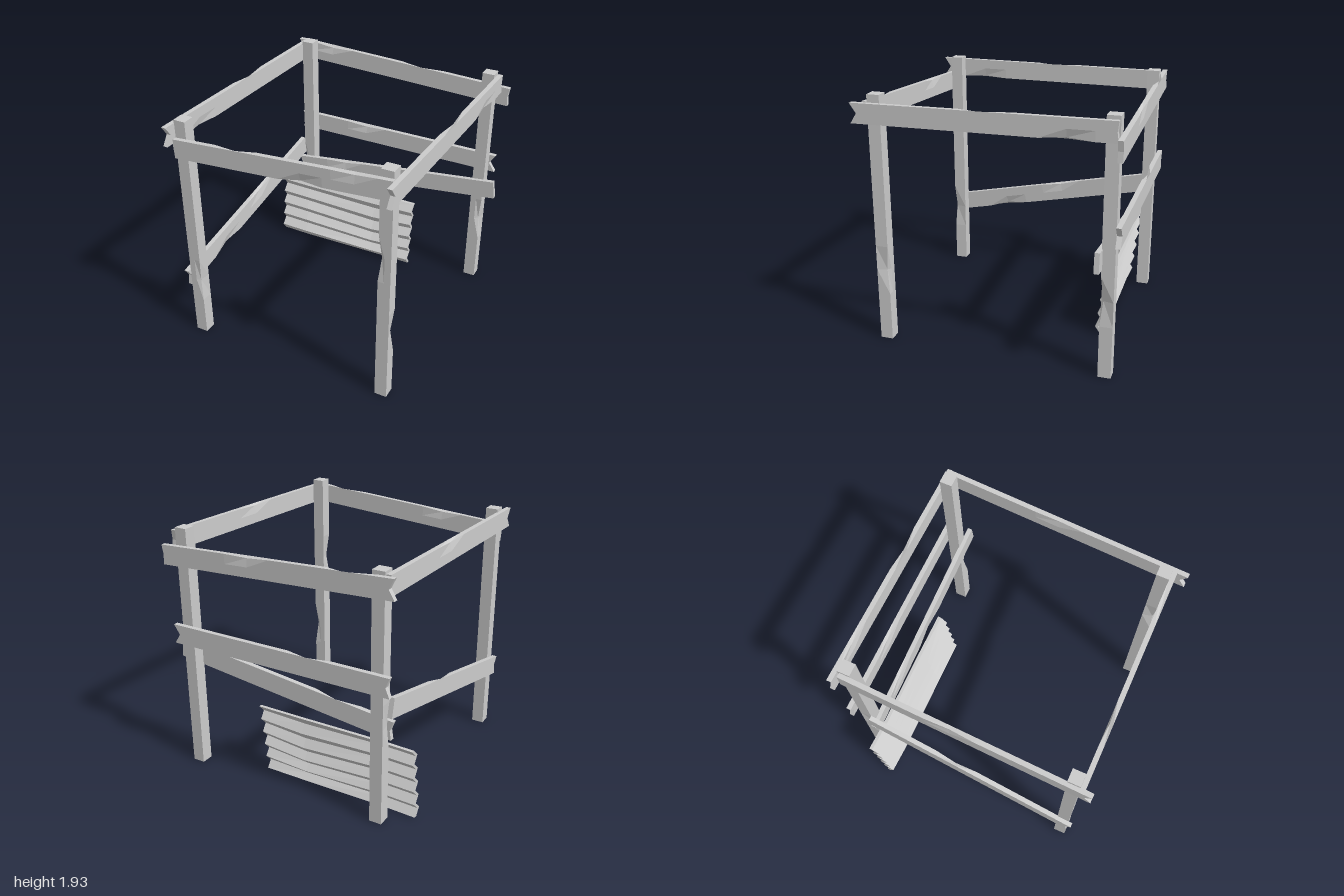
import * as THREE from 'three';

const material = new THREE.MeshStandardMaterial({ color: 0xcccccc, flatShading: true });

function facet(geometry) {
  const flat = geometry.toNonIndexed();
  flat.computeVertexNormals();
  return flat;
}

// Rough timber running from a to b.
// nicks: [t along length, side in y, side in z, depth] chips an edge.
// notch: how far the split in the start and end face goes in.
function timber(name, a, b, height, depth, nicks = [], notch = [0, 0]) {
  const from = new THREE.Vector3(...a), to = new THREE.Vector3(...b);
  const length = from.distanceTo(to);
  const stations = [0, 1];
  for (const [t] of nicks) stations.push(t - 0.1, t, t + 0.1);
  stations.sort((p, q) => p - q);
  const n = stations.length - 1;

  const geometry = new THREE.BoxGeometry(1, height, depth, n, 2, 1);
  const p = geometry.attributes.position;
  for (let i = 0; i < p.count; i++) {
    const t = stations[Math.round((p.getX(i) + 0.5) * n)];
    let x = (t - 0.5) * length, y = p.getY(i), z = p.getZ(i);
    if (Math.abs(y) < 1e-6) {
      if (t === 0) x += notch[0];
      if (t === 1) x -= notch[1];
    }
    for (const [at, sy, sz, cut] of nicks) {
      if (t === at && y * sy > 1e-6 && z * sz > 0) {
        y -= sy * cut;
        z -= sz * Math.min(cut, depth * 0.4);
      }
    }
    p.setXYZ(i, x, y, z);
  }

  // Orient along the run, keeping the wide face upright
  const dir = to.clone().sub(from).normalize();
  const side = Math.abs(dir.y) > 0.99
    ? new THREE.Vector3(0, 0, 1)
    : dir.clone().cross(new THREE.Vector3(0, 1, 0)).normalize();
  const up = side.clone().cross(dir);
  geometry.applyMatrix4(new THREE.Matrix4().makeBasis(dir, up, side)
    .setPosition(from.add(to).multiplyScalar(0.5)));

  const mesh = new THREE.Mesh(facet(geometry), material);
  mesh.name = name;
  return mesh;
}

// Leaning, slightly sagging corrugated panel
function corrugatedSheet() {
  const columns = [-1, -0.75, -0.08, 0.29];
  const sag = [0, 0, 1, 0];
  const ridges = 10;
  const geometry = new THREE.BoxGeometry(1, 1, 1, 3, ridges, 1);
  const p = geometry.attributes.position;
  for (let i = 0; i < p.count; i++) {
    const column = Math.round((p.getX(i) + 0.5) * 3);
    const row = Math.round((p.getY(i) + 0.5) * ridges);
    const v = row / ridges;
    const zig = row % 2 ? 0.024 : -0.024;
    p.setXYZ(i,
      columns[column],
      0.01 + 0.585 * v - 0.033 * sag[column] * Math.sin(Math.PI * v),
      -0.735 - 0.075 * v + zig + p.getZ(i) * 0.026 + (column === 1 ? 0.008 : 0));
  }
  const mesh = new THREE.Mesh(facet(geometry), material);
  mesh.name = 'corrugatedSheet';
  return mesh;
}

export function createModel() {
  const model = new THREE.Group();
  model.name = 'timberFrame';

  // Corner posts: name, x, z, height, chipped edges
  const posts = [
    ['frontLeftPost', 0.78, 0.825, 1.93, [[0.3, -1, -1, 0.02], [0.64, 1, 1, 0.02]]],
    ['frontRightPost', -0.835, 0.825, 1.9, [[0.27, -1, 1, 0.015]]],
    ['backLeftPost', 0.84, -0.905, 1.93, [[0.31, -1, 1, 0.02]]],
    ['backRightPost', -0.775, -0.905, 1.9, [[0.4, 1, 1, 0.012]]],
  ];
  for (const [name, x, z, h, nicks] of posts) {
    model.add(timber(name, [x, 0, z], [x, h, z], 0.096, 0.096, nicks));
  }

  // Planks: name, start, end, chipped edges, split ends
  const planks = [
    ['frontTopRail', [-0.88, 1.685, 0.89], [0.84, 1.805, 0.89],
      [[0.3, 1, -1, 0.012], [0.6, -1, 1, 0.015], [0.84, 1, 1, 0.012]], [0, 0]],
    ['backTopRail', [-0.91, 1.805, -0.975], [0.99, 1.72, -0.975],
      [[0.17, 1, 1, 0.02], [0.6, 1, -1, 0.012]], [0.04, 0.01]],
    ['backMiddleRail', [-0.89, 1.115, -0.975], [0.94, 1.105, -0.975],
      [[0.35, 1, 1, 0.018]], [0.03, 0.05]],
    ['backSlantedPlank', [-0.85, 0.72, -0.845], [0.99, 0.93, -0.845],
      [[0.25, 1, 1, 0.018], [0.52, -1, 1, 0.012]], [0.02, 0]],
    ['leftTopRail', [0.912, 1.83, -0.95], [0.85, 1.795, 0.99],
      [[0.18, -1, -1, 0.015], [0.48, 1, 1, 0.012]], [0.01, 0.05]],
    ['rightTopRail', [-0.84, 1.805, -0.94], [-0.9, 1.8, 0.97],
      [[0.45, 1, 1, 0.012], [0.8, -1, -1, 0.012]], [0, 0.05]],
    ['rightBrace', [-0.84, 0.905, -0.87], [-0.9, 0.52, 0.89],
      [[0.42, 1, -1, 0.012], [0.72, -1, -1, 0.018]], [0, 0.03]],
  ];
  for (const [name, a, b, nicks, notch] of planks) {
    model.add(timber(name, a, b, 0.15, 0.037, nicks, notch));
  }

  model.add(corrugatedSheet());
  return model;
}
